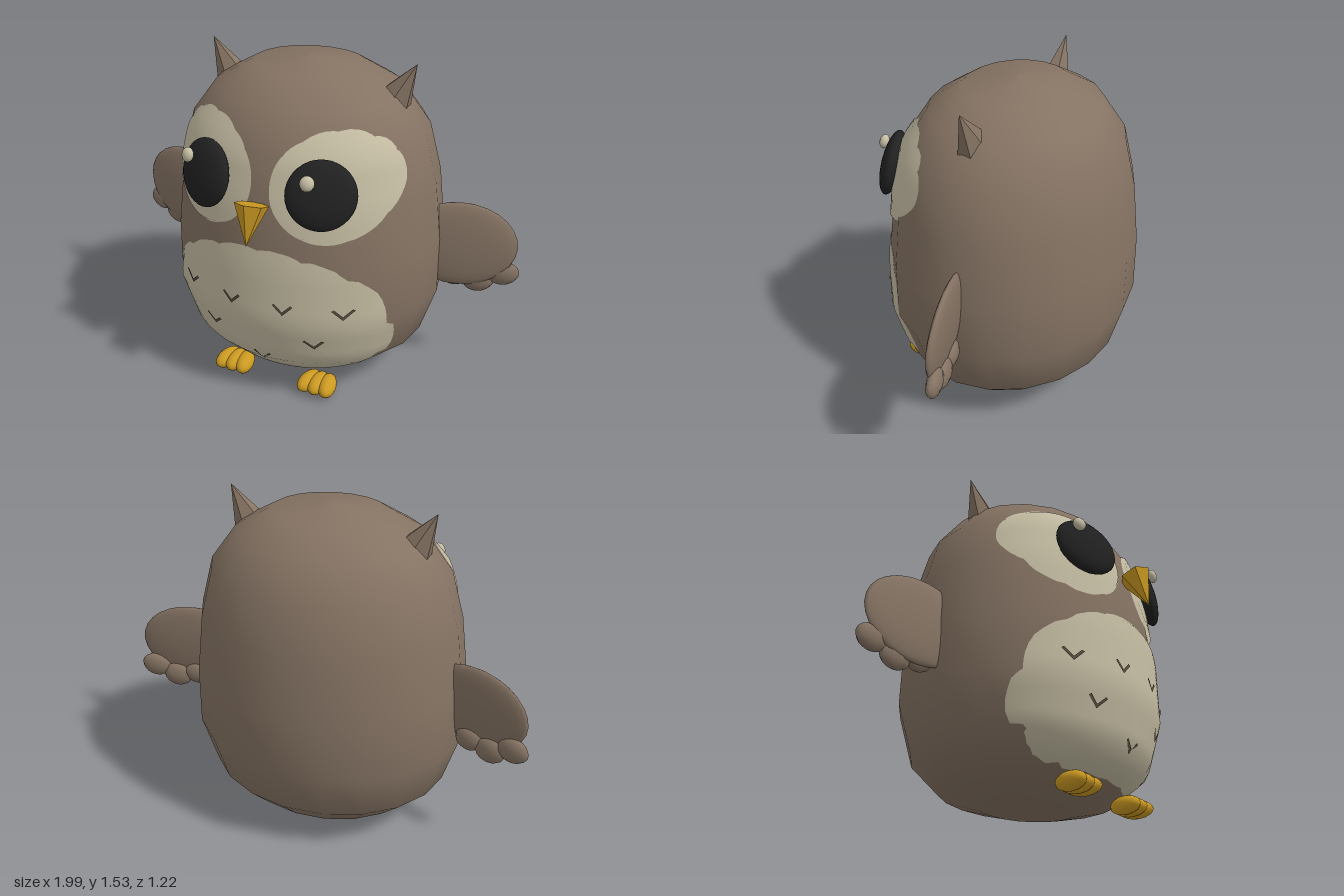
import * as THREE from 'three';
import { mergeVertices } from 'three/addons/utils/BufferGeometryUtils.js';

const material = (name, color) => {
  const m = new THREE.MeshStandardMaterial({ color });
  m.name = name;
  return m;
};

// Body profile [radius, height]; the body is a lathe squashed in depth
const PROFILE = [[0, 0.035], [0.26, 0.05], [0.45, 0.1], [0.58, 0.22], [0.65, 0.45], [0.645, 0.72],
  [0.61, 1], [0.55, 1.22], [0.43, 1.38], [0.26, 1.475], [0, 1.505]];
const DEPTH = 0.87, BODY_Z = -0.04;

function radiusAt(y) {
  for (let i = 1; i < PROFILE.length; i++) {
    const [r0, y0] = PROFILE[i - 1], [r1, y1] = PROFILE[i];
    if (y <= y1) return THREE.MathUtils.lerp(r0, r1, THREE.MathUtils.clamp((y - y0) / (y1 - y0), 0, 1));
  }
  return 0;
}

// Depth of the front of the body at (x, y), pushed out by offset
function frontZ(x, y, offset) {
  const r = radiusAt(y) + offset;
  return BODY_Z + DEPTH * Math.sqrt(Math.max(r * r - x * x, 0));
}

// Bends a flat geometry onto the front of the body, with smooth normals
function wrap(geo, offsetAt) {
  const p = geo.attributes.position, n = geo.attributes.normal, v = new THREE.Vector3();
  for (let i = 0; i < p.count; i++) {
    const x = p.getX(i), y = p.getY(i), z = frontZ(x, y, offsetAt(i));
    const slope = (radiusAt(y + 0.07) - radiusAt(y - 0.07)) / 0.14;
    p.setZ(i, z);
    v.set(x, -radiusAt(y) * slope, (z - BODY_Z) / DEPTH ** 2).normalize();
    n.setXYZ(i, v.x, v.y, v.z);
  }
  return geo;
}

// Rounded patch lying on the body; its rim is sunk into the surface
function patch(cx, cy, rx, ry, lowerPower = 2) {
  const geo = mergeVertices(new THREE.RingGeometry(0, 1, 56, 14));
  const p = geo.attributes.position, radii = [];
  for (let i = 0; i < p.count; i++) {
    const x = p.getX(i), y = p.getY(i), d = Math.hypot(x, y);
    radii.push(d);
    let k = 1;
    if (y < 0 && d > 0) {
      const c = Math.abs(x) / d, s = -y / d;
      k = (c ** lowerPower + s ** lowerPower) ** (-1 / lowerPower);
    }
    p.setXY(i, cx + x * k * rx, cy + y * k * ry);
  }
  return wrap(geo, (i) => (radii[i] > 0.99 ? -0.006 : 0.012));
}

export function createModel() {
  const brown = material('brown plumage', 0x857363);
  const cream = material('cream plumage', 0xc6bea4);
  const black = material('black pupil', 0x212121);
  const gold = material('golden horn', 0xcc9a22);
  const dark = material('dark feather mark', 0x5a4d3f);
  cream.side = dark.side = THREE.DoubleSide;

  const model = new THREE.Group();
  const add = (name, geo, mat, pos = [0, 0, 0], rot = [0, 0, 0]) => {
    const mesh = new THREE.Mesh(geo, mat);
    mesh.name = name;
    mesh.position.set(...pos);
    mesh.rotation.set(...rot, 'YXZ');
    model.add(mesh);
    return mesh;
  };
  const ellipsoid = (rx, ry, rz, w = 20, h = 14) => new THREE.SphereGeometry(1, w, h).scale(rx, ry, rz);

  // Body
  const body = new THREE.LatheGeometry(PROFILE.map(([r, y]) => new THREE.Vector2(r, y)), 20);
  add('body', body.scale(1, 1, DEPTH), brown, [0, 0, BODY_Z]);

  // Belly patch with small chevron feather marks
  add('belly', patch(0, 0.45, 0.54, 0.36, 3), cream);
  const marks = [[-0.375, 0.53], [-0.125, 0.54], [0.125, 0.54], [0.375, 0.53],
    [-0.25, 0.355], [0.25, 0.355], [0, 0.23]];
  for (const [x, y] of marks) {
    const outline = [[-0.046, 0.02], [0, -0.028], [0.046, 0.02], [0.036, 0.027], [0, -0.01], [-0.036, 0.027]];
    const shape = new THREE.Shape(outline.map(([a, b]) => new THREE.Vector2(x + a, y + b)));
    add('featherMark', wrap(new THREE.ShapeGeometry(shape), () => 0.018), dark);
  }

  // Beak: six-sided cone pointing down and slightly forward
  const beak = new THREE.ConeGeometry(0.073, 0.18, 6).toNonIndexed();
  beak.computeVertexNormals();
  add('beak', beak, gold, [0, 0.952, 0.573], [Math.PI - 0.35, 0, 0]);

  for (const side of [1, -1]) {
    const label = side > 0 ? 'left' : 'right';

    // Eye: pale disc, pupil and glint (glints sit on the same side of both eyes)
    add(label + 'EyeDisc', patch(side * 0.288, 1.088, 0.247, 0.233), cream);
    add(label + 'Pupil', ellipsoid(0.15, 0.15, 0.05, 28, 18), black, [side * 0.27, 1.088, 0.447], [-0.25, side * 0.42, 0]);
    add(label + 'Glint', ellipsoid(0.031, 0.033, 0.023, 12, 8), cream,
      [side * 0.29 - 0.055, 1.163, side > 0 ? 0.51 : 0.462], [-0.25, side * 0.42, 0]);

    // Ear tuft
    const tuft = new THREE.ConeGeometry(0.085, 0.2, 6).scale(1, 1, 0.76).toNonIndexed();
    tuft.computeVertexNormals();
    add(label + 'EarTuft', tuft, brown, [side * 0.442, 1.438, -0.045], [0, 0, -side * 0.5]);

    // Wing swept back, with three feather tips
    const sweep = side * 0.24;
    const wingZ = (x) => -0.075 - 0.24 * (x - 0.63);
    add(label + 'Wing', ellipsoid(0.265, 0.205, 0.035), brown, [side * 0.72, 0.688, wingZ(0.72)], [-0.08, sweep, 0]);
    const tips = [[0.922, 0.55, 0.076, 0.06], [0.815, 0.505, 0.076, 0.062], [0.712, 0.523, 0.07, 0.057]];
    for (const [x, y, rx, ry] of tips) {
      add(label + 'WingFeather', ellipsoid(rx, ry, 0.032, 10, 8), brown, [side * x, y, wingZ(x) - 0.01], [0, sweep, side * 0.1]);
    }

    // Foot: three toes fanned out
    for (const toe of [-1, 0, 1]) {
      add(label + 'Toe', ellipsoid(0.043, 0.041, 0.08, 14, 10), gold, [side * 0.218 + toe * 0.047, 0.041, 0.345], [0, toe * 0.2, 0]);
    }
  }
  return model;
}
